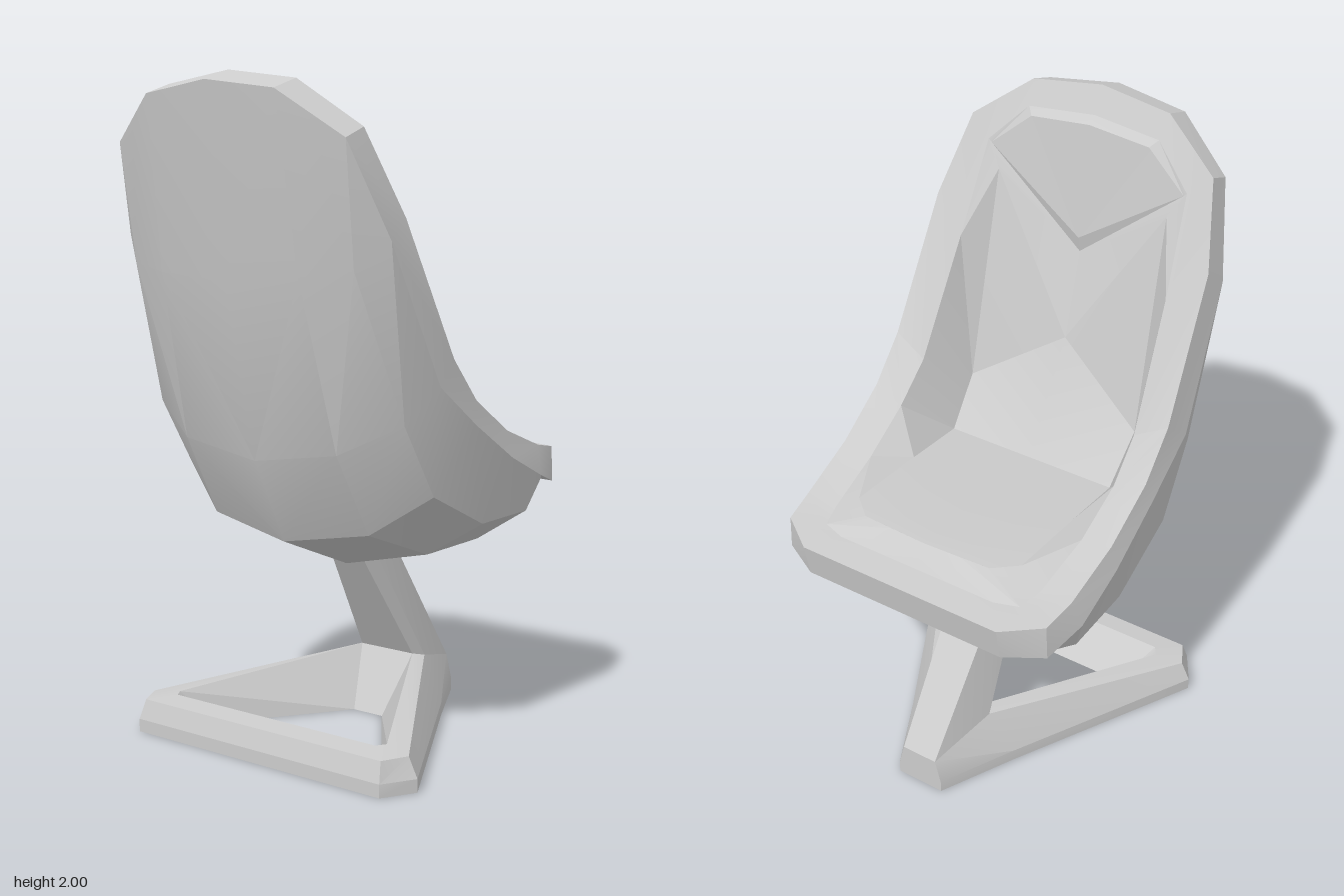
import * as THREE from 'three';
import { toCreasedNormals } from 'three/addons/utils/BufferGeometryUtils.js';

const material = new THREE.MeshStandardMaterial({ color: 0xcccccc, side: THREE.DoubleSide });
const mirror = ([x, y, z]) => [-x, y, z];

// Closed left/right loop from one half (listed rear to front).
const loop = (half) => [...half.map(mirror), ...[...half].reverse(), mirror(half[0])];
// Open row across the width from one half (listed side to centre).
const across = (half) => [...half.map(mirror), ...half.slice(0, -1).reverse()];

// Faceted surface through a grid of cross-sections, split symmetrically about the centre.
function patch(name, rows) {
  const pos = [];
  const tri = (...pts) => {
    const [a, b, c] = pts.map((p) => new THREE.Vector3(...p));
    if (b.clone().sub(a).cross(c.clone().sub(a)).length() > 1e-7) pts.forEach((p) => pos.push(...p));
  };
  for (let r = 0; r < rows.length - 1; r++) {
    const segments = rows[r].length - 1;
    for (let c = 0; c < segments; c++) {
      const a = rows[r][c], b = rows[r + 1][c], d = rows[r + 1][c + 1], e = rows[r][c + 1];
      if (c < segments / 2) {
        tri(a, b, d);
        tri(a, d, e);
      } else {
        tri(a, b, e);
        tri(b, d, e);
      }
    }
  }
  const geometry = new THREE.BufferGeometry();
  geometry.setAttribute('position', new THREE.Float32BufferAttribute(pos, 3));
  const mesh = new THREE.Mesh(toCreasedNormals(geometry, 0.3), material);
  mesh.name = name;
  return mesh;
}

export function createModel() {
  const group = new THREE.Group();
  group.name = 'loungeChair';

  // Rim rings, each from the top of the backrest down to the seat front
  const outer = [[0, 1.97, 0.6], [0.23, 1.94, 0.585], [0.41, 1.81, 0.51], [0.48, 1.54, 0.4], [0.5, 1.13, 0.19],
    [0.5, 1.0, 0], [0.5, 0.88, -0.2], [0.495, 0.8, -0.38], [0.46, 0.76, -0.51], [0.34, 0.75, -0.57], [0, 0.75, -0.57]];
  const peak = [[0, 2, 0.5], [0.23, 1.97, 0.49], [0.41, 1.84, 0.43], [0.47, 1.6, 0.32], [0.485, 1.2, 0.1],
    [0.485, 1.07, -0.02], [0.48, 0.96, -0.2], [0.47, 0.89, -0.4], [0.455, 0.87, -0.51], [0.34, 0.86, -0.59], [0, 0.86, -0.59]];
  const lip = [[0, 1.92, 0.46], [0.22, 1.9, 0.45], [0.34, 1.78, 0.41], [0.36, 1.5, 0.28], [0.38, 1.14, 0.09],
    [0.385, 1.03, -0.03], [0.38, 0.94, -0.2], [0.365, 0.88, -0.4], [0.345, 0.87, -0.475], [0.27, 0.87, -0.5], [0, 0.87, -0.5]];
  // Edge of the padded lining
  const pad = [[0, 1.9, 0.43], [0.2, 1.88, 0.43], [0.33, 1.77, 0.41], [0.29, 1.7, 0.39], [0.3, 1.03, 0.245],
    [0.29, 0.89, 0.12], [0.29, 0.91, -0.1], [0.29, 0.93, -0.38], [0.22, 0.93, -0.44], [0.12, 0.93, -0.445], [0, 0.93, -0.45]];
  group.add(patch('rim', [outer, peak, lip].map(loop)));
  group.add(patch('innerWall', [lip, pad].map(loop)));

  // Headrest, back and seat padding, with V-shaped creases down the middle
  const padCentre = [[0, 1.55, 0.385], [0, 1.5, 0.395], [0, 1.23, 0.32], [0, 0.89, 0.12],
    [0, 0.91, -0.1], [0, 0.93, -0.38], [0, 0.93, -0.45]];
  const padRows = padCentre.map((c, i) => across([pad[i + 2], c]).reverse());
  const headrestTop = [pad[1], pad[0], mirror(pad[1])];
  group.add(patch('padding', [headrestTop, ...padRows]));

  // Outside of the shell: side, haunch, quarter and centre line of each section
  const shell = [
    [outer[2], [0.32, 1.875, 0.5475], outer[1], outer[0]],
    [outer[3], [0.4, 1.46, 0.46], [0.25, 1.44, 0.51], [0, 1.42, 0.52]],
    [outer[4], [0.455, 1.03, 0.3], [0.28, 0.94, 0.38], [0, 0.9, 0.4]],
    [outer[5], [0.46, 0.81, 0.16], [0.29, 0.69, 0.24], [0, 0.64, 0.27]],
    [outer[6], [0.46, 0.69, -0.1], [0.29, 0.58, -0.06], [0, 0.515, -0.04]],
    [outer[7], [0.46, 0.69, -0.35], [0.29, 0.58, -0.34], [0, 0.52, -0.2]],
    [outer[8], [0.4, 0.755, -0.54], outer[9], outer[10]],
  ];
  group.add(patch('shell', shell.map(across)));

  // Triangular floor frame, each ring listed rear corner to front point
  const frame = [
    [[0.46, 0, 0.42], [0.52, 0, 0.32], [0.2, 0, -0.28], [0.08, 0, -0.52]],
    [[0.46, 0.04, 0.42], [0.52, 0.04, 0.32], [0.2, 0.04, -0.28], [0.08, 0.04, -0.52]],
    [[0.45, 0.1, 0.4], [0.49, 0.1, 0.32], [0.12, 0.18, -0.3], [0.06, 0.12, -0.52]],
    [[0.38, 0.11, 0.33], [0.4, 0.11, 0.3], [0.1, 0.19, -0.26], [0.1, 0.19, -0.26]],
    [[0.3, 0, 0.22], [0.315, 0, 0.21], [0.055, 0, -0.155], [0.055, 0, -0.155]],
  ];
  group.add(patch('baseFrame', [...frame, frame[0]].map(loop)));

  // Slanted leg between the frame's front point and the shell
  group.add(patch('leg', [
    [[0.1, 0.19, -0.26], [0.12, 0.18, -0.3], [0.06, 0.12, -0.52]],
    [[0.06, 0.55, -0.035], [0.09, 0.55, -0.075], [0.075, 0.55, -0.2]],
  ].map(loop)));

  return group;
}
